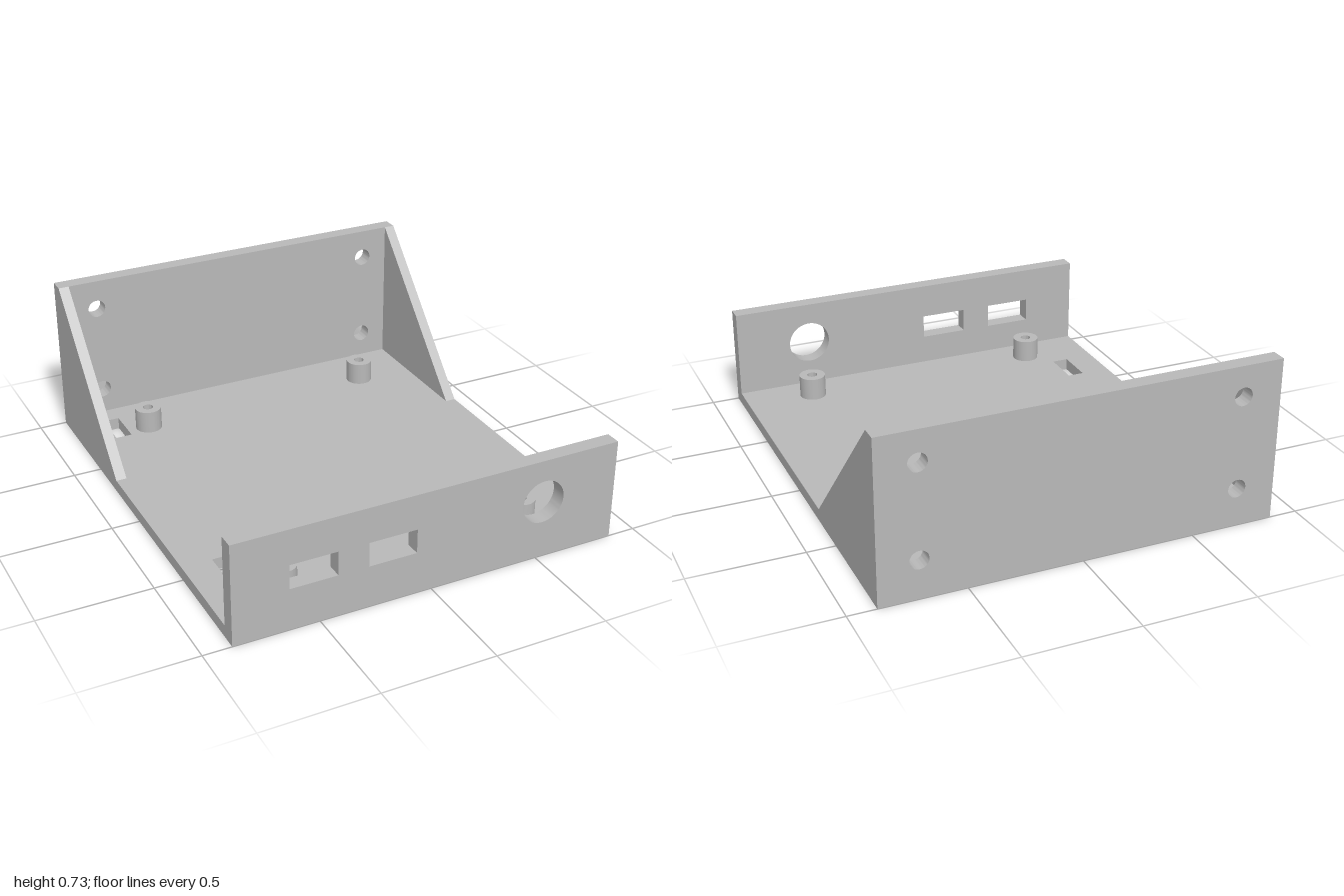
import * as THREE from 'three';
import { toCreasedNormals } from 'three/addons/utils/BufferGeometryUtils.js';

const W = 0.875;      // half width
const FLOOR = 0.055;  // floor thickness
const WALL = 0.07;    // front and back wall thickness

function rect(x0, y0, x1, y1, Type = THREE.Shape) {
  return new Type([[x0, y0], [x1, y0], [x1, y1], [x0, y1]].map(p => new THREE.Vector2(...p)));
}
const rectHole = (x0, y0, x1, y1) => rect(x0, y0, x1, y1, THREE.Path);
const circleHole = (x, y, r) => new THREE.Path().absarc(x, y, r, 0, Math.PI * 2, true);

// Extrude a shape with crisp edges and smooth round walls
function plate(shape, depth, holes = []) {
  shape.holes.push(...holes);
  const geo = new THREE.ExtrudeGeometry(shape, { depth, bevelEnabled: false, curveSegments: 32 });
  return toCreasedNormals(geo, Math.PI / 6);
}

export function createModel() {
  const group = new THREE.Group();
  const grey = new THREE.MeshStandardMaterial({ color: 0xb8b8b8 });
  grey.name = 'plain grey';

  function add(name, geo, x = 0, y = 0, z = 0) {
    const mesh = new THREE.Mesh(geo, grey);
    mesh.name = name;
    mesh.position.set(x, y, z);
    group.add(mesh);
  }

  // Floor with two strap slots (shape y is -z)
  const slots = [rectHole(-0.74, 0.65, -0.665, 0.83), rectHole(-0.74, -0.67, -0.665, -0.49)];
  add('floor', plate(rect(-W, -1, W, 1), FLOOR, slots).rotateX(-Math.PI / 2));

  // Front wall with two port cutouts and a round opening
  add('frontWall', plate(rect(-W, FLOOR, W, 0.46), WALL, [
    rectHole(-0.63, 0.19, -0.42, 0.3),
    rectHole(-0.285, 0.19, -0.07, 0.3),
    circleHole(0.523, 0.265, 0.098),
  ]), 0, 0, 1 - WALL);

  // Back wall with four screw holes
  const screwHoles = [];
  for (const x of [-0.7, 0.7]) for (const y of [0.175, 0.595]) screwHoles.push(circleHole(x, y, 0.041));
  add('backWall', plate(rect(-W, FLOOR, W, 0.733), WALL, screwHoles), 0, 0, -1);

  // Triangular side braces (shape x is z)
  const brace = new THREE.Shape([
    new THREE.Vector2(-0.93, FLOOR), new THREE.Vector2(-0.28, FLOOR), new THREE.Vector2(-0.93, 0.733),
  ]);
  const braceGeo = plate(brace, 0.048).rotateY(-Math.PI / 2);
  add('leftBrace', braceGeo, W);
  add('rightBrace', braceGeo, -W + 0.048);

  // Hollow standoffs on the floor
  const ring = new THREE.Shape().absarc(0, 0, 0.061, 0, Math.PI * 2, false);
  const standoffGeo = plate(ring, 0.104, [circleHole(0, 0, 0.024)]).rotateX(-Math.PI / 2);
  for (const x of [-0.563, 0.56]) for (const z of [-0.688, 0.787]) add('standoff', standoffGeo, x, FLOOR, z);

  return group;
}
